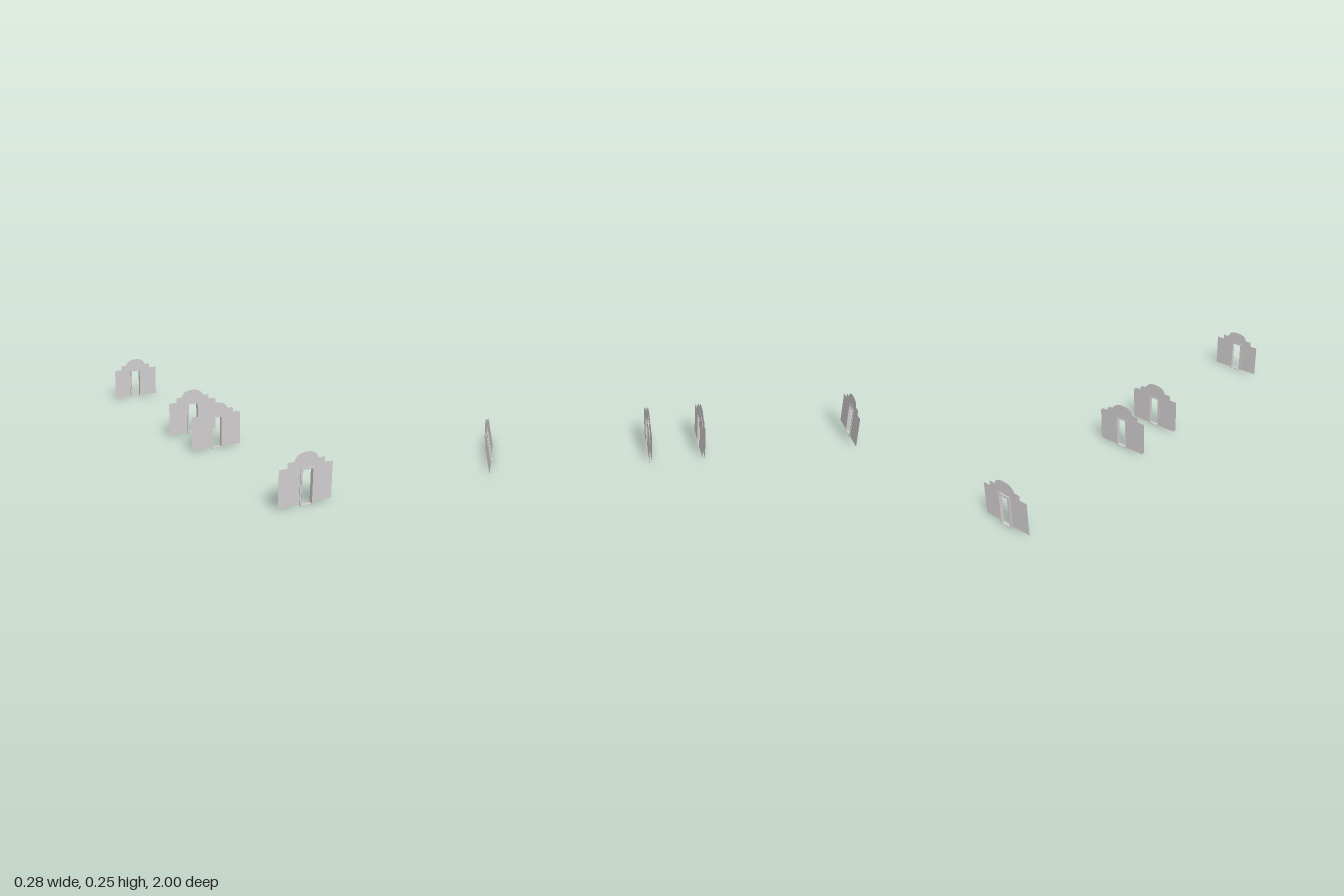
import * as THREE from 'three';

const stone = new THREE.MeshStandardMaterial({ color: 0xd0cccd, side: THREE.DoubleSide });
stone.name = 'pale grey stone';

// Stepped wall outline with a rounded crest and a doorway cut from its foot
function wallShape() {
  const half = [
    [0.033, 0.005], [0.139, 0.005], [0.139, 0.182], [0.096, 0.182], [0.096, 0.208],
    [0.062, 0.208], [0.058, 0.221], [0.045, 0.235], [0.023, 0.243],
  ];
  const door = [[-0.033, 0.175], [0.033, 0.175]];
  const left = half.map(([x, y]) => [-x, y]).reverse();
  const points = [...half, [0, 0.245], ...left, ...door];
  return new THREE.Shape(points.map(([x, y]) => new THREE.Vector2(x, y)));
}

// Rectangle given by half width, bottom and top
function rect(Type, w, y0, y1) {
  return new Type([[-w, y0], [w, y0], [w, y1], [-w, y1]].map(([x, y]) => new THREE.Vector2(x, y)));
}

function addMesh(group, name, geometry, z) {
  const mesh = new THREE.Mesh(geometry, stone);
  mesh.name = name;
  mesh.position.z = z;
  group.add(mesh);
}

// One gate: thin wall faces, a door lining and a trim on each side
function makeGate(name, wallDepths) {
  const gate = new THREE.Group();
  gate.name = name;
  for (const z of wallDepths) addMesh(gate, 'wallFace', new THREE.ShapeGeometry(wallShape()), z);

  const depth = 0.019;
  const lining = rect(THREE.Shape, 0.03, 0, 0.171);
  lining.holes.push(rect(THREE.Path, 0.027, 0.004, 0.168));
  addMesh(gate, 'doorLining',
    new THREE.ExtrudeGeometry(lining, { depth, bevelEnabled: false }), -depth / 2);

  const trim = new THREE.Shape([
    [-0.037, 0.005], [-0.03, 0.005], [-0.03, 0.171], [0.03, 0.171],
    [0.03, 0.005], [0.037, 0.005], [0.037, 0.178], [-0.037, 0.178],
  ].map(([x, y]) => new THREE.Vector2(x, y)));
  const inset = 0.0015;
  const thick = 0.003;
  for (const z of [depth / 2 - inset - thick, -depth / 2 + inset]) {
    addMesh(gate, 'doorTrim',
      new THREE.ExtrudeGeometry(trim, { depth: thick, bevelEnabled: false }), z);
  }
  return gate;
}

export function createModel() {
  const model = new THREE.Group();
  model.name = 'gateSeries';
  for (const side of [1, -1]) {
    const end = side > 0 ? 'front' : 'back';
    // Outer gate has a single wall face on its inner side
    const outer = makeGate(end + 'OuterGate', [-0.0055 * side]);
    outer.position.z = 0.9905 * side;
    // Inner gate has a wall face on both sides
    const inner = makeGate(end + 'InnerGate', [-0.0065, 0.0065]);
    inner.position.z = 0.142 * side;
    model.add(outer, inner);
  }
  return model;
}
